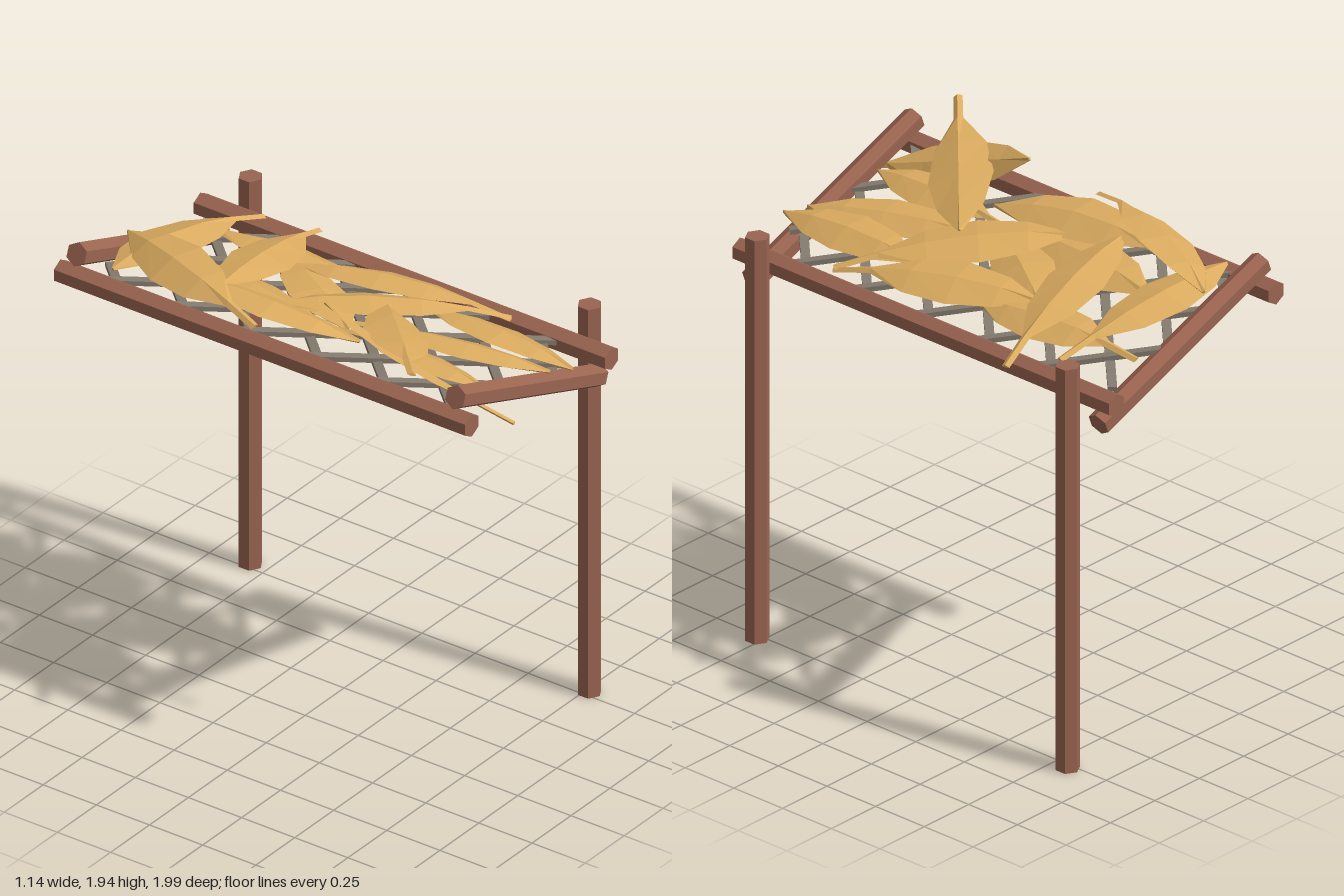
import * as THREE from 'three';

const wood = new THREE.MeshStandardMaterial({ color: 0x9a6450, flatShading: true });
const stick = new THREE.MeshStandardMaterial({ color: 0x857b6f, flatShading: true });
const straw = new THREE.MeshStandardMaterial({ color: 0xdcac60, flatShading: true, side: THREE.DoubleSide });
const V = (x, y, z) => new THREE.Vector3(x, y, z);

// Hexagonal pole between two points
function pole(name, a, b, rotate) {
  const geo = new THREE.CylinderGeometry(0.0485, 0.0485, a.distanceTo(b), 6);
  const mesh = new THREE.Mesh(geo, wood);
  mesh.name = name;
  mesh.position.copy(a).add(b).multiplyScalar(0.5);
  if (rotate) mesh.rotation.set(...rotate);
  return mesh;
}

// Height of the sloping lattice
const planeY = (x) => 1.65 - 0.18 * x;

// Leaf outline: position along the leaf and share of the half width (tip to stalk)
const OUTLINE = [[0, 0.06], [0.2, 0.72], [0.42, 1], [0.64, 0.8], [0.83, 0.15], [1, 0.14]];
const ROOF_UP = V(0.27, 1, 0).normalize();

// Folded dry leaf: diamond-like cross-sections along an arched path, lying on the roof slope
function leaf({ tip, stalk, width, arch = 0.04, bow = [0, 0], roll = 0 }) {
  const a = V(...tip), b = V(...stalk);
  const mid = a.clone().lerp(b, 0.45).add(V(bow[0], arch, bow[1]).multiplyScalar(2));
  const curve = new THREE.QuadraticBezierCurve3(a, mid, b);
  const rings = OUTLINE.map(([t, f]) => {
    const p = curve.getPoint(t), T = curve.getTangent(t);
    const S = T.clone().cross(ROOF_UP).normalize().applyAxisAngle(T, roll);
    const U = S.clone().cross(T);
    const w = (f * width) / 2, fold = 0.2 * w;
    const at = (s, u) => p.clone().addScaledVector(S, s).addScaledVector(U, u);
    return [at(w, -fold), at(0, 0.008), at(-w, -fold), at(0, -0.008)];
  });
  const pos = [];
  const tri = (...pts) => pts.forEach((p) => pos.push(p.x, p.y, p.z));
  for (let i = 0; i < rings.length - 1; i++) {
    for (let j = 0; j < 4; j++) {
      const k = (j + 1) % 4, r = rings[i], n = rings[i + 1];
      tri(r[j], n[j], r[k]);
      tri(r[k], n[j], n[k]);
    }
  }
  const s = rings[0], e = rings[rings.length - 1];
  tri(s[0], s[1], s[3]); tri(s[1], s[2], s[3]);
  tri(e[0], e[3], e[1]); tri(e[1], e[3], e[2]);
  const geo = new THREE.BufferGeometry();
  geo.setAttribute('position', new THREE.Float32BufferAttribute(pos, 3));
  geo.computeVertexNormals();
  const mesh = new THREE.Mesh(geo, straw);
  mesh.name = 'leaf';
  return mesh;
}

const LEAVES = [
  // bottom layer
  { tip: [-0.24, 1.74, 0.25], stalk: [-0.29, 1.78, -0.65], width: 0.25, arch: 0.055, bow: [-0.04, 0] },
  { tip: [-0.14, 1.7, 0.12], stalk: [0.26, 1.645, -0.5], width: 0.25, arch: 0.035 },
  { tip: [-0.19, 1.72, 0.02], stalk: [-0.08, 1.71, -0.8], width: 0.25, arch: 0.035, bow: [-0.01, 0] },
  { tip: [0.25, 1.64, -0.12], stalk: [0.2, 1.64, -0.88], width: 0.23, arch: 0.04 },
  { tip: [-0.2, 1.71, 0.81], stalk: [-0.17, 1.71, 0.1], width: 0.2, arch: 0.03 },
  { tip: [0.12, 1.655, 0.88], stalk: [-0.1, 1.7, 0.08], width: 0.22, arch: 0.03 },
  { tip: [0.2, 1.645, 0.93], stalk: [0.21, 1.65, 0.1], width: 0.22, arch: 0.045 },
  // middle layer
  { tip: [0.15, 1.68, -0.34], stalk: [0.39, 1.62, 0.5], width: 0.25, arch: 0.05, bow: [0.01, 0] },
  { tip: [-0.23, 1.76, -0.16], stalk: [0.39, 1.63, 0.5], width: 0.26, arch: 0.05 },
  { tip: [-0.42, 1.78, -0.78], stalk: [0.41, 1.65, -0.68], width: 0.25, arch: 0.05, bow: [0, -0.02] },
  { tip: [-0.3, 1.8, -0.36], stalk: [0.52, 1.6, -0.5], width: 0.25, arch: 0.045, bow: [0, 0.01] },
  // top layer
  { tip: [-0.34, 1.93, 0.16], stalk: [-0.26, 1.65, 0.99], width: 0.21, arch: -0.01, bow: [-0.02, 0], roll: -0.4 },
  { tip: [0.02, 1.75, 0.19], stalk: [-0.56, 1.92, 0.73], width: 0.26, arch: 0.02, roll: -0.1 },
  { tip: [-0.17, 1.79, -0.89], stalk: [-0.48, 1.81, -0.07], width: 0.24, arch: 0.06, bow: [-0.03, 0], roll: 0.55 },
];

export function createModel() {
  const model = new THREE.Group();
  model.name = 'leanToShelter';

  // Upright posts
  for (const z of [0.77, -0.825]) model.add(pole('post', V(0.525, 0, z), V(0.525, 1.72, z)));

  // Long rails
  for (const [name, x, y] of [['upperRail', -0.457, 1.715], ['lowerRail', 0.442, 1.575]]) {
    model.add(pole(name, V(x, y, -1), V(x, y, 0.935), [Math.PI / 2, 0, 0]));
  }

  // Sloping cross beams, turned so their flats face the ends
  const slope = Math.atan2(0.345, 0.915);
  for (const z of [0.862, -0.919]) {
    const beam = pole('crossBeam', V(-0.463, 1.818, z), V(0.455, 1.473, z));
    beam.geometry.rotateY(Math.PI / 2);
    beam.rotation.z = Math.PI / 2 - slope;
    model.add(beam);
  }

  // Diagonal lattice between the rails, clipped to the frame
  const lattice = new THREE.Group();
  lattice.name = 'lattice';
  for (const dir of [1, -1]) {
    for (let k = -5; k <= 5; k++) {
      const z0 = (dir > 0 ? -0.35 : 0.4) + k * 0.315; // z where the stick crosses x = 0
      const ends = [-0.9, 0.85].map((z) => (z - z0) * dir).sort((p, q) => p - q);
      const x1 = Math.max(-0.45, ends[0]), x2 = Math.min(0.43, ends[1]);
      if (x2 - x1 < 0.12) continue;
      const lift = dir * 0.008;
      const a = V(x1, planeY(x1) + lift, z0 + dir * x1);
      const b = V(x2, planeY(x2) + lift, z0 + dir * x2);
      const bar = new THREE.Mesh(new THREE.BoxGeometry(0.036, 0.02, a.distanceTo(b)), stick);
      bar.name = 'latticeStick';
      bar.position.copy(a).add(b).multiplyScalar(0.5);
      bar.lookAt(b);
      lattice.add(bar);
    }
  }
  model.add(lattice);

  // Leaf thatch
  const thatch = new THREE.Group();
  thatch.name = 'leafThatch';
  LEAVES.forEach((l) => thatch.add(leaf(l)));
  model.add(thatch);
  return model;
}
